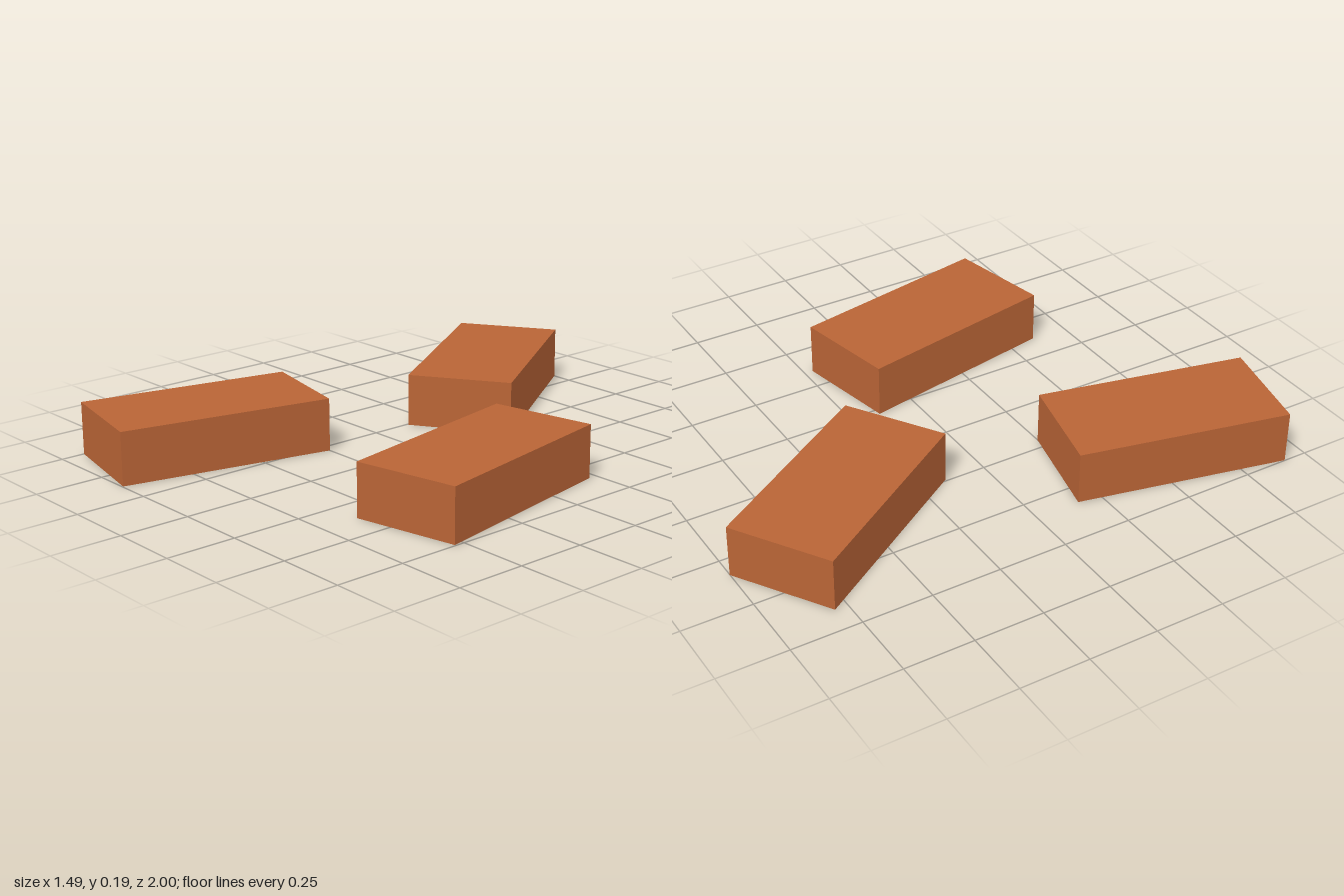
import * as THREE from 'three';

// Three identical bricks scattered flat on the ground: [x, z, turn about y]
const PLACEMENTS = [
  [-0.287, -0.575, 0.567],
  [0.484, 0.195, 0.194],
  [-0.478, 0.581, -0.22],
];
const WIDTH = 0.383, HEIGHT = 0.19, LENGTH = 0.766;

export function createModel() {
  const model = new THREE.Group();
  model.name = 'scatteredBricks';

  const clay = new THREE.MeshStandardMaterial({ color: 0xb96436 });
  clay.name = 'clay';

  const brickGeometry = new THREE.BoxGeometry(WIDTH, HEIGHT, LENGTH);
  PLACEMENTS.forEach(([x, z, turn], i) => {
    const brick = new THREE.Mesh(brickGeometry, clay);
    brick.name = `brick${i + 1}`;
    brick.position.set(x, HEIGHT / 2, z);
    brick.rotation.y = turn;
    model.add(brick);
  });

  return model;
}
